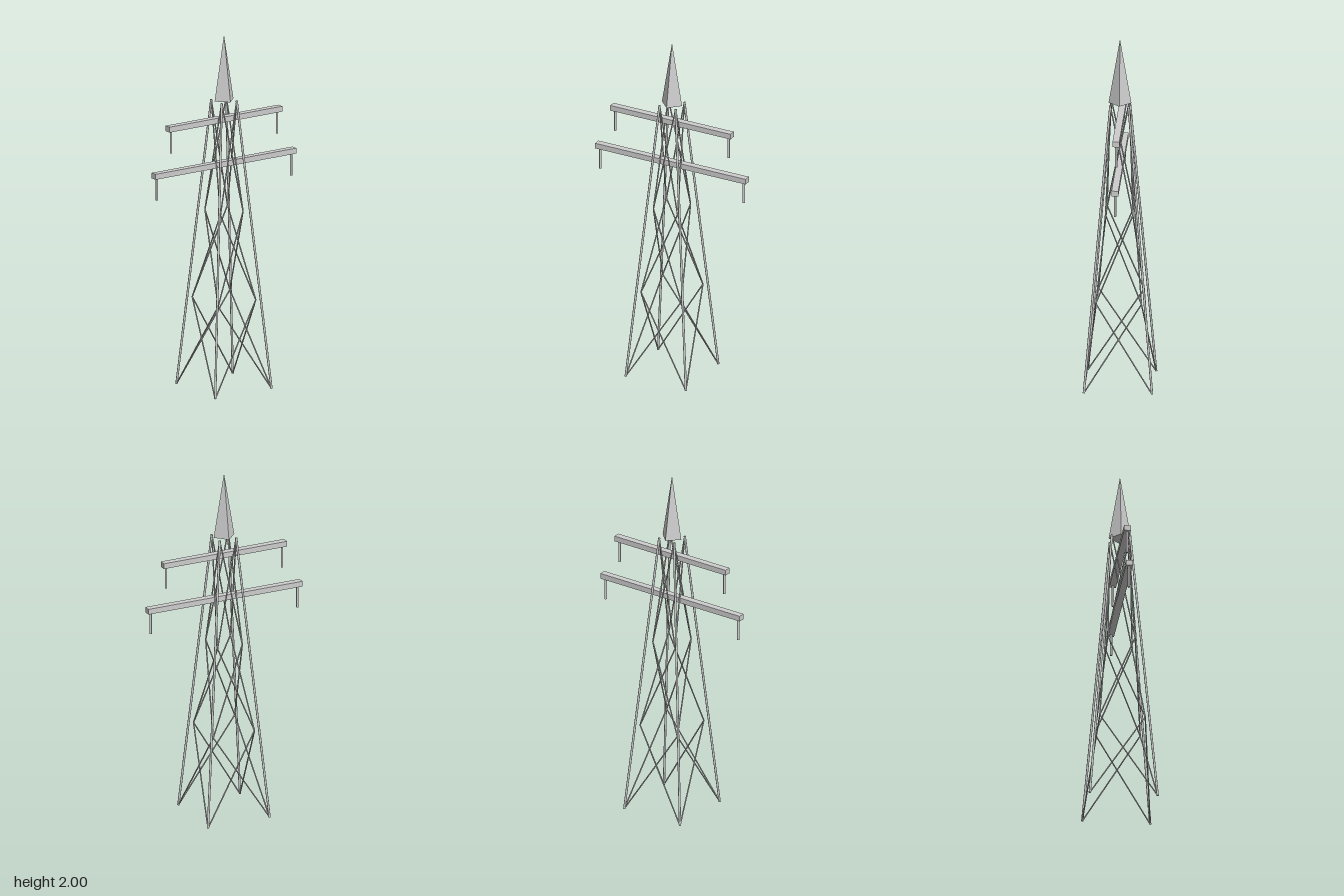
import * as THREE from 'three';

export function createModel() {
  const tower = new THREE.Group();
  tower.name = 'pylon';
  const steel = new THREE.MeshStandardMaterial({ color: 0xcccccc });
  steel.name = 'light steel grey';

  const add = (geometry, name, parent = tower) => {
    const mesh = new THREE.Mesh(geometry, steel);
    mesh.name = name;
    parent.add(mesh);
    return mesh;
  };

  // Round bar between two points
  const up = new THREE.Vector3(0, 1, 0);
  const bar = (a, b, radius, sides, name) => {
    const dir = b.clone().sub(a);
    const mesh = add(new THREE.CylinderGeometry(radius, radius, dir.length(), sides), name);
    mesh.position.copy(a).add(b).multiplyScalar(0.5);
    mesh.quaternion.setFromUnitVectors(up, dir.normalize());
  };

  // Corners in order around the tower, and bracing levels [half width, height]
  const corners = [[1, 1], [1, -1], [-1, -1], [-1, 1]];
  const levels = [[0.187, 0], [0.125, 0.5], [0.075, 1.0], [0.05, 1.626]];
  const node = (corner, level) => {
    const [x, z] = corners[corner % 4];
    const [w, y] = levels[level];
    return new THREE.Vector3(x * w, y, z * w);
  };

  for (let c = 0; c < 4; c++) {
    // Straight leg from foot to top
    bar(node(c, 0), node(c, 3), 0.00625, 12, 'leg');
    // Crossed braces on this side
    for (let l = 0; l < 3; l++) {
      bar(node(c, l), node(c + 1, l + 1), 0.00375, 6, 'brace');
      bar(node(c + 1, l), node(c, l + 1), 0.00375, 6, 'brace');
    }
  }

  // Cross arms with a hanging insulator near each end
  for (const [name, length, y] of [['upperArm', 0.748, 1.52], ['lowerArm', 0.935, 1.267]]) {
    const arm = new THREE.Group();
    arm.name = name;
    arm.position.y = y;
    tower.add(arm);
    add(new THREE.BoxGeometry(length, 0.031, 0.0375), 'beam', arm);
    for (const side of [1, -1]) {
      const insulator = add(new THREE.CylinderGeometry(0.0068, 0.0068, 0.125, 12), 'insulator', arm);
      insulator.position.set(side * (length / 2 - 0.022), -0.077, 0);
    }
  }

  // Four-sided peak, its corners on the x and z axes
  const peak = add(new THREE.ConeGeometry(0.0625, 0.37, 4).toNonIndexed(), 'peak');
  peak.geometry.computeVertexNormals();
  peak.position.y = 1.812;

  return tower;
}
